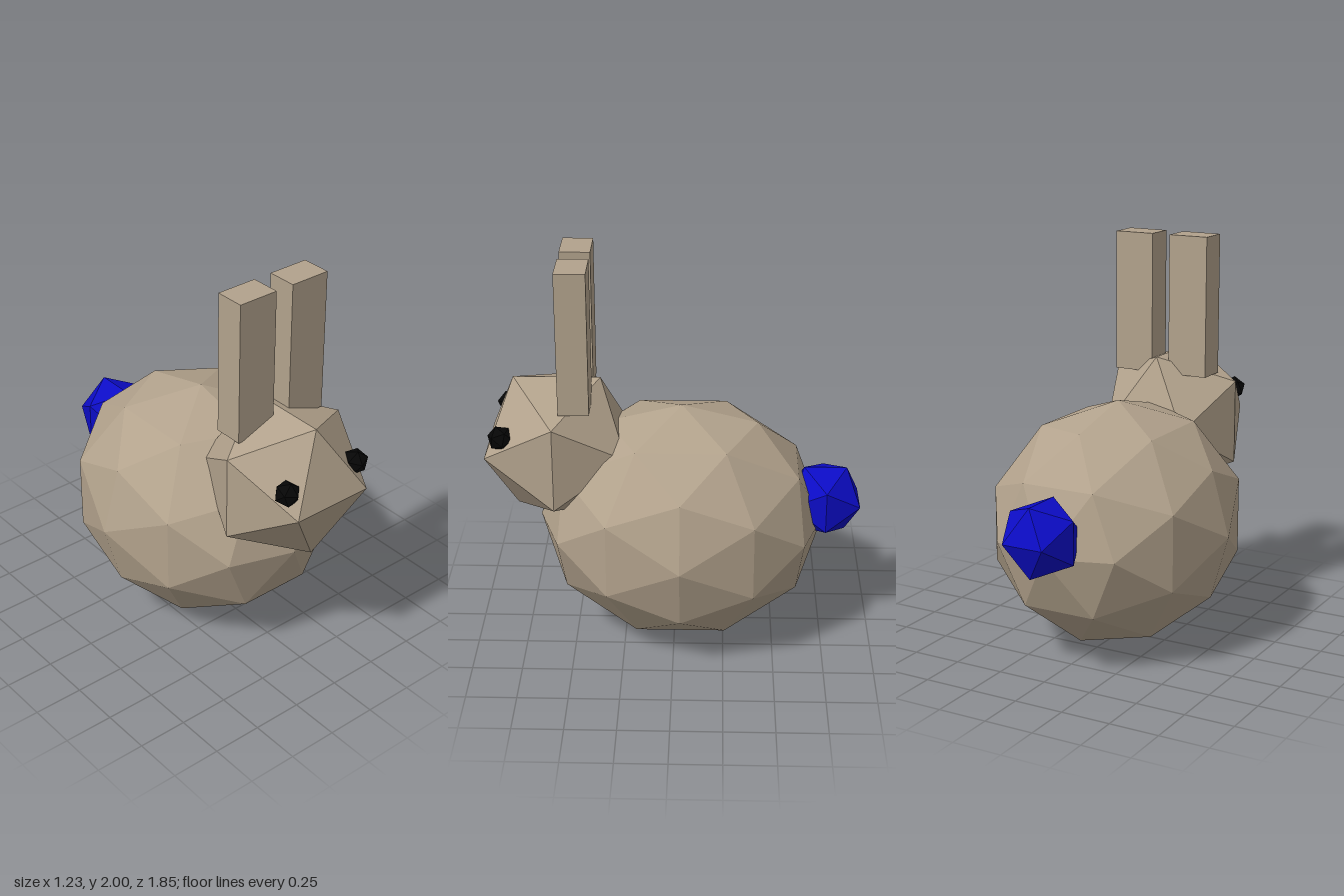
import * as THREE from 'three';

const flat = (name, color) => {
  const m = new THREE.MeshStandardMaterial({ color });
  m.name = name;
  m.flatShading = true;
  return m;
};

export function createModel() {
  const fur = flat('fur', 0xb2a28c);
  const blue = flat('tailBlue', 0x0c0cc6);
  const black = flat('eyeBlack', 0x060606);
  const group = new THREE.Group();
  group.name = 'rabbit';

  const add = (name, geometry, material, x, y, z) => {
    const mesh = new THREE.Mesh(geometry, material);
    mesh.name = name;
    mesh.position.set(x, y, z);
    group.add(mesh);
    return mesh;
  };
  // Faceted ball with its level edge running across the front
  const ball = (radius, detail = 0) =>
    new THREE.IcosahedronGeometry(radius, detail).rotateY(Math.PI / 2);

  // Body, stretched from front to back
  add('body', ball(0.615, 1).scale(1, 1, 1.163), fur, 0, 0.616, -0.035);
  add('head', ball(0.408), fur, 0, 1.028, 0.58);
  add('tail', ball(0.203), blue, 0, 0.722, -0.755);

  // Paired ears and eyes
  for (const [side, s] of [['left', 1], ['right', -1]]) {
    add(side + 'Ear', new THREE.BoxGeometry(0.21, 0.715, 0.15), fur, s * 0.153, 1.6425, 0.48);
    const eye = add(side + 'Eye', ball(0.064), black, s * 0.212, 1.14, 0.843);
    eye.rotation.set(-0.3, s * 0.35, s * 0.3);
  }
  return group;
}
